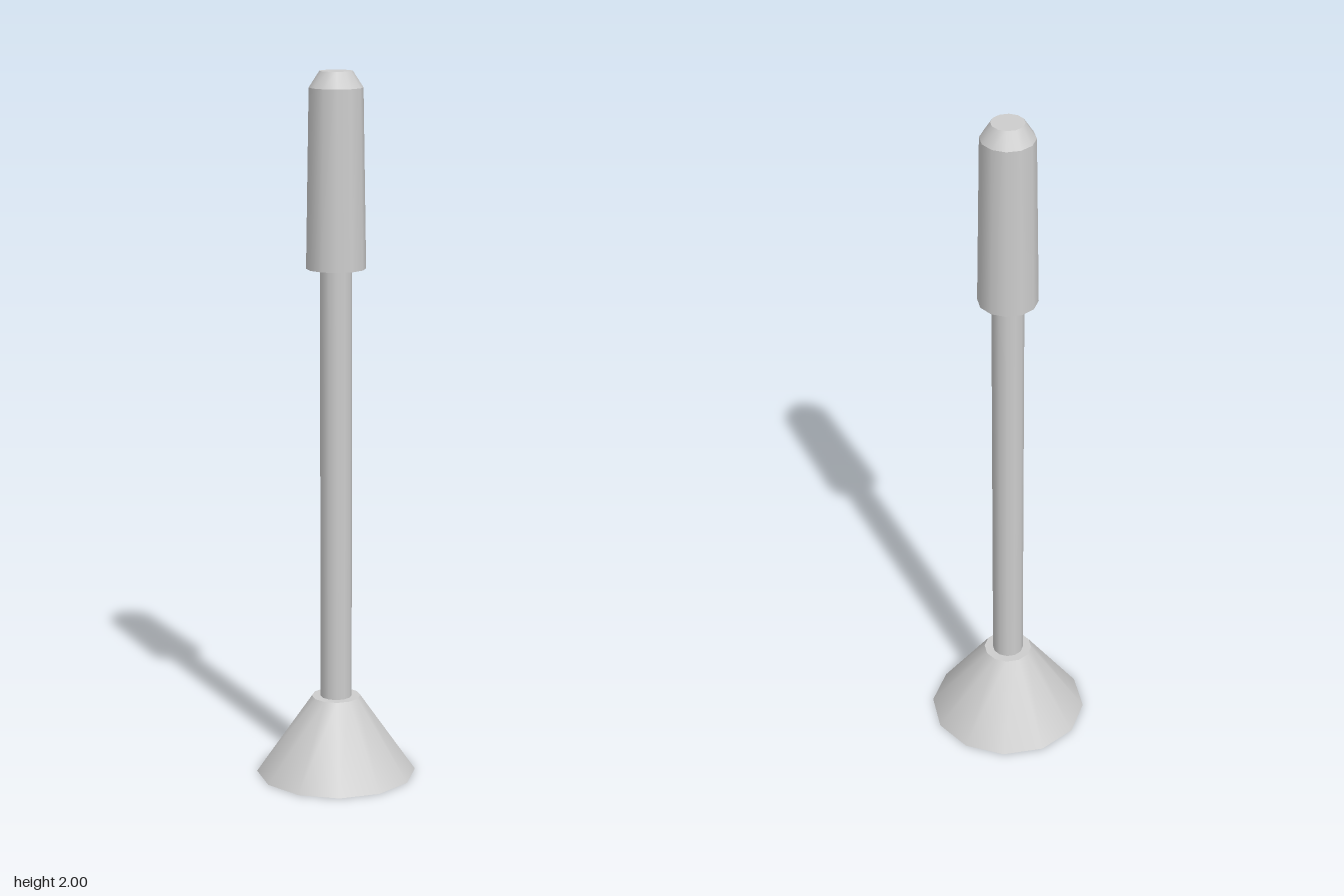
import * as THREE from 'three';

const SIDES = 12;
const FLAT = 1 / Math.cos(Math.PI / SIDES); // flat-to-flat radius -> corner radius

export function createModel() {
  const model = new THREE.Group();
  const grey = new THREE.MeshStandardMaterial({ color: 0xcccccc, side: THREE.DoubleSide });
  grey.name = 'light grey';

  function add(name, geometry, y, parent = model) {
    const mesh = new THREE.Mesh(geometry, grey);
    mesh.name = name;
    mesh.position.y = y;
    parent.add(mesh);
    return mesh;
  }

  // Open twelve-sided section with its flats facing the axes
  function section(name, rBottom, rTop, y0, y1, parent) {
    const g = new THREE.CylinderGeometry(rTop * FLAT, rBottom * FLAT, y1 - y0, SIDES, 1, true);
    g.rotateY(Math.PI / SIDES);
    return add(name, g, (y0 + y1) / 2, parent);
  }

  // Flat twelve-sided cap facing up (1) or down (-1)
  function cap(name, radius, y, facing, parent) {
    const g = new THREE.CircleGeometry(radius * FLAT, SIDES, Math.PI / SIDES);
    g.rotateX(-facing * Math.PI / 2);
    return add(name, g, y, parent);
  }

  // Hollow flared base, open underneath
  const base = new THREE.Group();
  base.name = 'base';
  section('baseFlare', 0.22, 0.067, 0, 0.226, base);
  cap('baseTop', 0.067, 0.226, 1, base);

  // Slender post
  section('post', 0.043, 0.043, 0.226, 1.46);

  // Slightly tapered head with a chamfered tip
  const head = new THREE.Group();
  head.name = 'head';
  cap('headUnderside', 0.08, 1.46, -1, head);
  section('headBody', 0.08, 0.072, 1.46, 1.955, head);
  section('headChamfer', 0.072, 0.044, 1.955, 2, head);
  cap('headTip', 0.044, 2, 1, head);

  model.add(base, head);
  return model;
}
